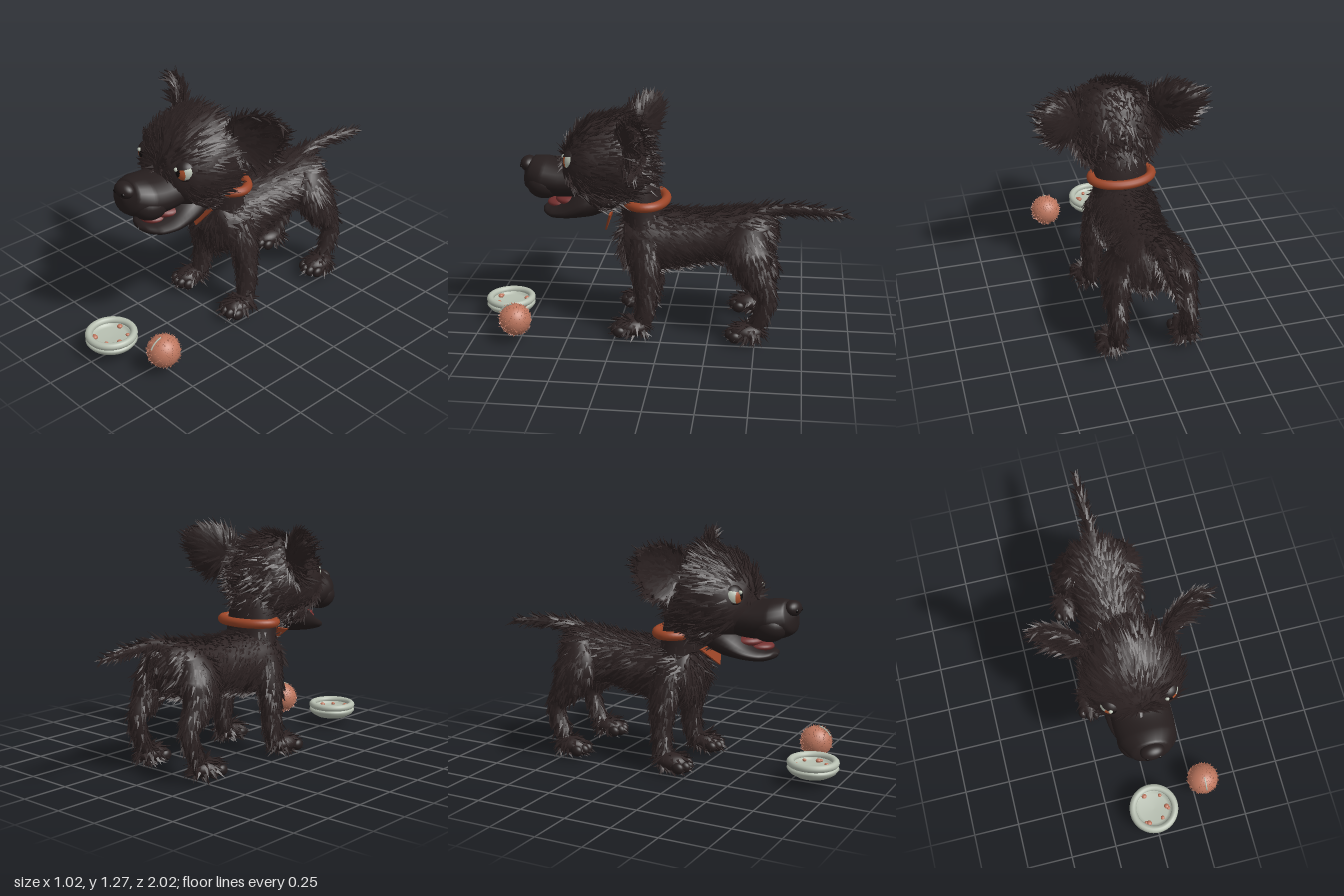
import * as THREE from 'three';

const paint = (name, color, side = THREE.FrontSide) => {
  const m = new THREE.MeshStandardMaterial({ color, side });
  m.name = name;
  return m;
};
const V = (x, y, z) => new THREE.Vector3(x, y, z);

// Small seeded random source
let seed = 7;
const rnd = () => {
  seed = (seed * 1664525 + 1013904223) % 4294967296;
  return seed / 4294967296;
};

// Smooth skin over elliptical sections [x, y, z, rx, rn] whose spine runs in the yz plane
function loft(sections, steps = 28, sides = 24) {
  const centre = new THREE.CatmullRomCurve3(sections.map(s => V(s[0], s[1], s[2])));
  const radii = new THREE.CatmullRomCurve3(sections.map(s => V(s[3], s[4], 0)));
  const pos = [], index = [];
  for (let i = 0; i <= steps; i++) {
    const c = centre.getPoint(i / steps), r = radii.getPoint(i / steps);
    const t = centre.getTangent(i / steps).setX(0).normalize();
    const n = t.cross(V(1, 0, 0));
    for (let j = 0; j < sides; j++) {
      const a = j / sides * Math.PI * 2;
      const p = c.clone().addScaledVector(n, r.y * Math.sin(a));
      pos.push(p.x + r.x * Math.cos(a), p.y, p.z);
      if (i < steps) {
        const k = i * sides, l = (j + 1) % sides;
        index.push(k + j, k + l, k + sides + j, k + l, k + sides + l, k + sides + j);
      }
    }
  }
  const g = new THREE.BufferGeometry();
  g.setAttribute('position', new THREE.Float32BufferAttribute(pos, 3));
  g.setIndex(index);
  g.computeVertexNormals();
  return g;
}

const ball = (c, r) => new THREE.SphereGeometry(1, 28, 20).scale(...r).translate(...c);

// Pointed tufts scattered evenly over a surface, combed along flow(p)
function tufts(geo, count, { len, width = 0.008, lift = 0.28, flow, skip = () => false }) {
  const g = geo.index ? geo.toNonIndexed() : geo, at = g.attributes.position;
  const tri = new THREE.Triangle(), sums = [], pos = [];
  const get = i => {
    tri.a.fromBufferAttribute(at, i * 3);
    tri.b.fromBufferAttribute(at, i * 3 + 1);
    tri.c.fromBufferAttribute(at, i * 3 + 2);
  };
  let total = 0;
  for (let i = 0; i < at.count / 3; i++) { get(i); sums.push(total += tri.getArea()); }
  for (let k = 0; k < count; k++) {
    const pick = rnd() * total;
    get(sums.findIndex(s => s >= pick));
    let u = rnd(), v = rnd();
    if (u + v > 1) { u = 1 - u; v = 1 - v; }
    const p = tri.a.clone().multiplyScalar(1 - u - v).addScaledVector(tri.b, u).addScaledVector(tri.c, v);
    if (skip(p)) continue;
    const n = tri.getNormal(V(0, 0, 0));
    const d = flow(p).normalize();
    d.addScaledVector(n, -d.dot(n)).addScaledVector(n, lift * (0.5 + rnd()));
    d.add(V(rnd() - 0.5, rnd() - 0.5, rnd() - 0.5).multiplyScalar(0.45)).normalize();
    const tip = p.clone().addScaledVector(d, len * (0.6 + 0.6 * rnd()));
    tip.y = Math.max(tip.y, 0);
    const side = V(0, 0, 0).crossVectors(d, n).normalize(), up = V(0, 0, 0).crossVectors(side, d);
    const base = [0, 1, 2].map(i => p.clone().addScaledVector(n, -0.004)
      .addScaledVector(side, width * Math.cos(i * 2.094 + 0.52)).addScaledVector(up, width * Math.sin(i * 2.094 + 0.52)));
    for (let i = 0; i < 3; i++)
      for (const q of [base[(i + 1) % 3], base[i], tip]) pos.push(q.x, q.y, q.z);
  }
  const out = new THREE.BufferGeometry();
  out.setAttribute('position', new THREE.Float32BufferAttribute(pos, 3));
  out.computeVertexNormals();
  return out;
}

export function createModel() {
  seed = 7;
  const model = new THREE.Group();
  const fur = paint('dark fur', 0x2c2222, THREE.DoubleSide);
  const skin = paint('dark skin', 0x261e1e);
  const black = paint('black', 0x120d0d);
  const orange = paint('burnt orange', 0x9c4527, THREE.DoubleSide);
  const iris = paint('amber', 0xa8512c);
  const pale = paint('pale grey', 0xb6beb0, THREE.DoubleSide);
  const red = paint('mouth red', 0x74302f);
  const pink = paint('clay pink', 0xbe775f, THREE.DoubleSide);
  const add = (name, geo, mat) => {
    const m = new THREE.Mesh(geo, mat);
    m.name = name;
    model.add(m);
    return m;
  };
  const furry = (name, geo, count, options) => {
    add(name, geo, fur);
    add(name + 'Fur', tufts(geo, count, options), fur);
  };

  // Torso, neck and tail
  const back = () => V(0, -0.6, -0.8);
  furry('torso', loft([[0, .56, -.6, .02, .02], [0, .56, -.56, .13, .12], [0, .545, -.45, .175, .15],
    [0, .53, -.25, .16, .142], [0, .51, -.05, .172, .16], [0, .5, .1, .185, .178],
    [0, .5, .2, .165, .158], [0, .5, .25, .02, .02]]), 2500, { len: 0.065, lift: 0.22, flow: back });
  furry('neck', loft([[0, .5, .1, .17, .12], [0, .65, .12, .15, .11], [0, .8, .15, .145, .11],
    [0, .9, .2, .1, .1]]), 450, { len: 0.05, lift: 0.1, flow: () => V(0, -1, 0), skip: p => p.y > 0.68 && p.y < 0.82 });
  furry('tail', loft([[0, .66, -.48, .05, .04], [0, .69, -.62, .022, .03], [0, .685, -.8, .017, .022],
    [0, .667, -.965, .004, .004]]), 220, { len: 0.065, lift: 0.5, flow: () => V(0, -0.3, -1) });

  // Legs and paws
  const down = () => V(0, -1, -0.2);
  for (const s of [-1, 1]) {
    const mirror = list => list.map(([x, ...r]) => [s * x, ...r]);
    furry('frontLeg', loft(mirror([[.135, .56, .1, .06, .08], [.162, .4, .09, .062, .078], [.176, .22, .085, .05, .055],
      [.185, .1, .1, .045, .05], [.19, .04, .13, .03, .04]])), 480, { len: 0.055, lift: 0.2, flow: down });
    furry('hindLeg', loft(mirror([[.12, .63, -.47, .06, .08], [.16, .5, -.45, .08, .12], [.18, .37, -.5, .062, .085],
      [.185, .28, -.56, .045, .05], [.19, .15, -.53, .042, .045], [.19, .05, -.47, .035, .04]])), 560,
    { len: 0.058, lift: 0.24, flow: down });
    for (const [name, z] of [['frontPaw', 0.16], ['hindPaw', -0.455]]) {
      furry(name, ball([s * .2, .066, z], [.066, .048, .09]), 110,
        { len: 0.055, width: 0.01, lift: 0.4, flow: p => V(p.x - s * .2, -0.05, p.z - z + 0.03) });
      for (let i = 0; i < 4; i++)
        add('toe', ball([s * .2 + (i - 1.5) * .036, .05, z + (i % 3 ? .078 : .058)], [.023, .03, .034]), skin);
    }
  }

  // Head, left bare around the eyes and muzzle
  const comb = p => V(p.x, p.y - 0.96, p.z - 0.62);
  furry('head', loft([[0, .98, .07, .02, .02], [0, .97, .11, .15, .16], [0, .95, .2, .235, .245],
    [0, .925, .35, .252, .235], [0, .905, .455, .22, .185], [0, .9, .52, .14, .12], [0, .9, .55, .01, .01]]), 2400, {
    len: 0.075, lift: 0.24, flow: comb,
    skip: p => p.z > 0.36 && ((Math.abs(p.x) < 0.16 && p.y < 0.92) || Math.hypot(Math.abs(p.x) - 0.145, p.y - 0.965) < 0.062)
  });
  furry('cheeks', ball([0, .765, .32], [.195, .095, .14]), 400,
    { len: 0.065, lift: 0.2, flow: comb, skip: p => p.z > 0.38 });

  // Muzzle, nose and open mouth
  add('muzzle', loft([[0, .84, .4, .15, .1], [0, .83, .55, .155, .1], [0, .84, .65, .147, .103],
    [0, .86, .725, .1, .085], [0, .87, .755, .01, .01]]), skin);
  add('nose', ball([0, .9, .733], [.062, .042, .043]), skin);
  add('lowerJaw', loft([[0, .77, .25, .14, .07], [0, .715, .4, .172, .085], [0, .668, .52, .16, .05],
    [0, .652, .6, .12, .033], [0, .655, .645, .06, .02], [0, .656, .66, .005, .005]]), skin);
  add('mouthLining', ball([0, .72, .5], [.105, .035, .09]), red);
  add('tongue', ball([0, .692, .56], [.072, .027, .075]), red);
  for (const s of [-1, 1]) {
    add('lip', ball([s * .067, .81, .635], [.085, .078, .095]), skin);
    add('nostril', ball([s * .03, .895, .767], [.012, .01, .008]), black);
  }

  // Eyes made of nested caps between heavy lids
  for (const s of [-1, 1]) {
    const eye = new THREE.Group();
    eye.name = 'eye';
    const cap = (name, r, spread, mat, tilt = Math.PI / 2) => {
      const m = new THREE.Mesh(new THREE.SphereGeometry(r, 24, 12, 0, Math.PI * 2, 0, spread), mat);
      m.name = name;
      m.rotation.x = tilt;
      eye.add(m);
      return m;
    };
    cap('eyeball', 0.058, Math.PI, pale);
    cap('iris', 0.0592, 0.8, iris).rotation.z = s * 0.1;
    cap('pupil', 0.0604, 0.46, black, 1.42).rotation.z = s * 0.22;
    cap('upperLid', 0.063, 1.1, skin, 0.1);
    cap('lowerLid', 0.063, 0.95, skin, Math.PI - 0.1);
    cap('glint', 0.011, Math.PI, pale).position.set(-0.012, 0.022, 0.056);
    eye.position.set(s * 0.142, 0.963, 0.458);
    eye.rotation.set(0, s * 0.08, s * 0.15);
    model.add(eye);
  }

  // Wide dished ears, broad at the root and narrowing outward
  for (const s of [-1, 1]) {
    const g = new THREE.SphereGeometry(1, 28, 20), p = g.attributes.position;
    for (let i = 0; i < p.count; i++) {
      const x = p.getX(i), z = p.getZ(i);
      p.setXYZ(i, x * 0.15, p.getY(i) * 0.13 * (1 - 0.3 * s * x), z > 0 ? -z * 0.03 : z * 0.065);
    }
    g.rotateZ(s * 0.58).rotateY(s * 0.55).translate(s * 0.315, 1.09, 0.15);
    g.computeVertexNormals();
    furry('ear', g, 440, {
      len: 0.08, width: 0.01, lift: 0.18, flow: q => V(q.x - s * 0.2, (q.y - 1.06) * 0.9, -s * (q.x - s * 0.2) * 0.4)
    });
  }

  // Collar and neckerchief tip
  const ring = [];
  for (let i = 0; i < 24; i++) {
    const a = i / 24 * Math.PI * 2;
    ring.push(V(0.165 * Math.cos(a), 0.725, 0.1 + 0.107 * Math.sin(a)));
  }
  add('collar', new THREE.TubeGeometry(new THREE.CatmullRomCurve3(ring, true), 64, 0.025, 12, true), orange);
  const kerchief = new THREE.Shape([[-.13, .67], [.04, .55], [.13, .67]].map(q => new THREE.Vector2(...q)));
  const cloth = new THREE.ExtrudeGeometry(kerchief, { depth: 0.009, bevelEnabled: false });
  cloth.translate(0, -0.55, 0).rotateX(-0.3).translate(0, 0.55, 0.312);
  add('kerchief', cloth, orange);

  // Food bowl with a rolled rim
  const bowl = add('bowl', new THREE.LatheGeometry([[0, .035], [.05, .036], [.09, .045], [.12, .063], [.134, .082],
    [.13, .092], [.122, .096], [.11, .105], [.1, .11], [.095, .1], [.08, .092], [0, .09]]
    .map(q => new THREE.Vector2(...q)), 48), pale);
  bowl.position.z = 0.865;
  const rim = add('bowlRim', new THREE.TorusGeometry(0.116, 0.019, 14, 48).rotateX(Math.PI / 2), pale);
  rim.position.set(0, 0.113, 0.865);
  for (const [x, z, r] of [[-.035, .785, .014], [-.045, .937, .015], [.035, .925, .011], [.072, .868, .014],
    [.08, .88, .01], [.05, .8, .01], [-.06, .93, .009]])
    add('kibble', ball([x, .098, z], [r, r * .8, r]), pink);

  // Fuzzy ball with a short seam
  const toy = ball([.305, .122, .77], [.084, .084, .084]);
  add('toyBall', toy, pink);
  add('toyBallFuzz', tufts(toy, 450, { len: 0.012, width: 0.0025, lift: 2, flow: () => V(0, 1, 0.3) }), pink);
  const seam = add('toyBallSeam', new THREE.TorusGeometry(0.088, 0.004, 6, 16, 0.9).rotateY(-Math.PI / 2), pale);
  seam.position.set(.305, .122, .77);
  seam.rotation.x = -0.5;

  return model;
}
